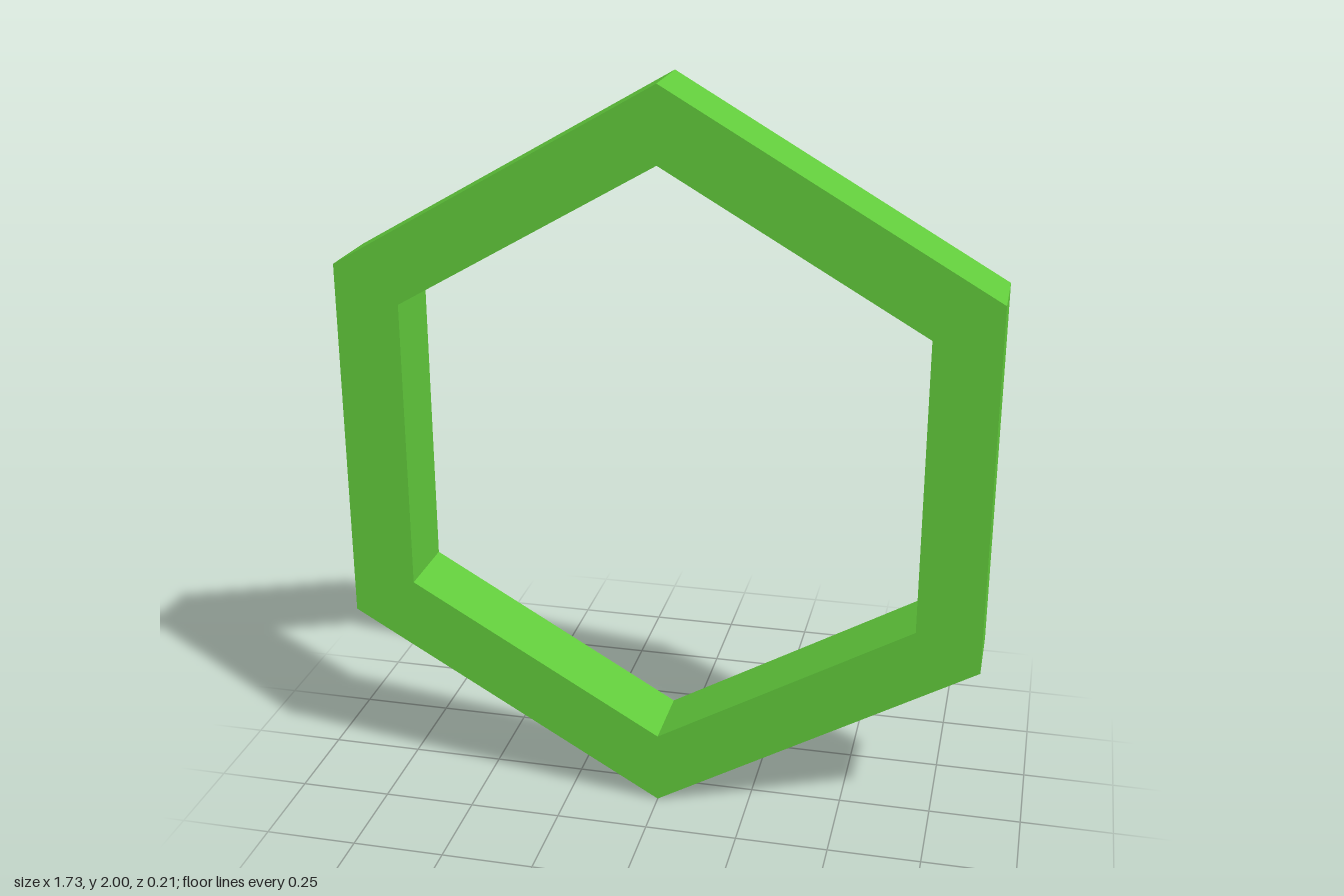
import * as THREE from 'three';

const OUTER = 1, INNER = 0.8, DEPTH = 0.208;

// Six corners of a hexagon standing on a point
function hexagon(radius) {
  return Array.from({ length: 6 }, (_, i) => {
    const a = Math.PI / 2 + i * Math.PI / 3;
    return new THREE.Vector2(radius * Math.cos(a), radius * Math.sin(a));
  });
}

export function createModel() {
  const group = new THREE.Group();
  group.name = 'hexagonalFrame';

  // Hexagonal ring with a hexagonal opening, extruded along z
  const shape = new THREE.Shape(hexagon(OUTER));
  shape.holes.push(new THREE.Path(hexagon(INNER)));
  const geometry = new THREE.ExtrudeGeometry(shape, { depth: DEPTH, bevelEnabled: false });
  geometry.translate(0, OUTER, -DEPTH / 2);

  const material = new THREE.MeshStandardMaterial({ color: 0x62cc3c });
  const ring = new THREE.Mesh(geometry, material);
  ring.name = 'hexagonRing';
  group.add(ring);
  return group;
}
